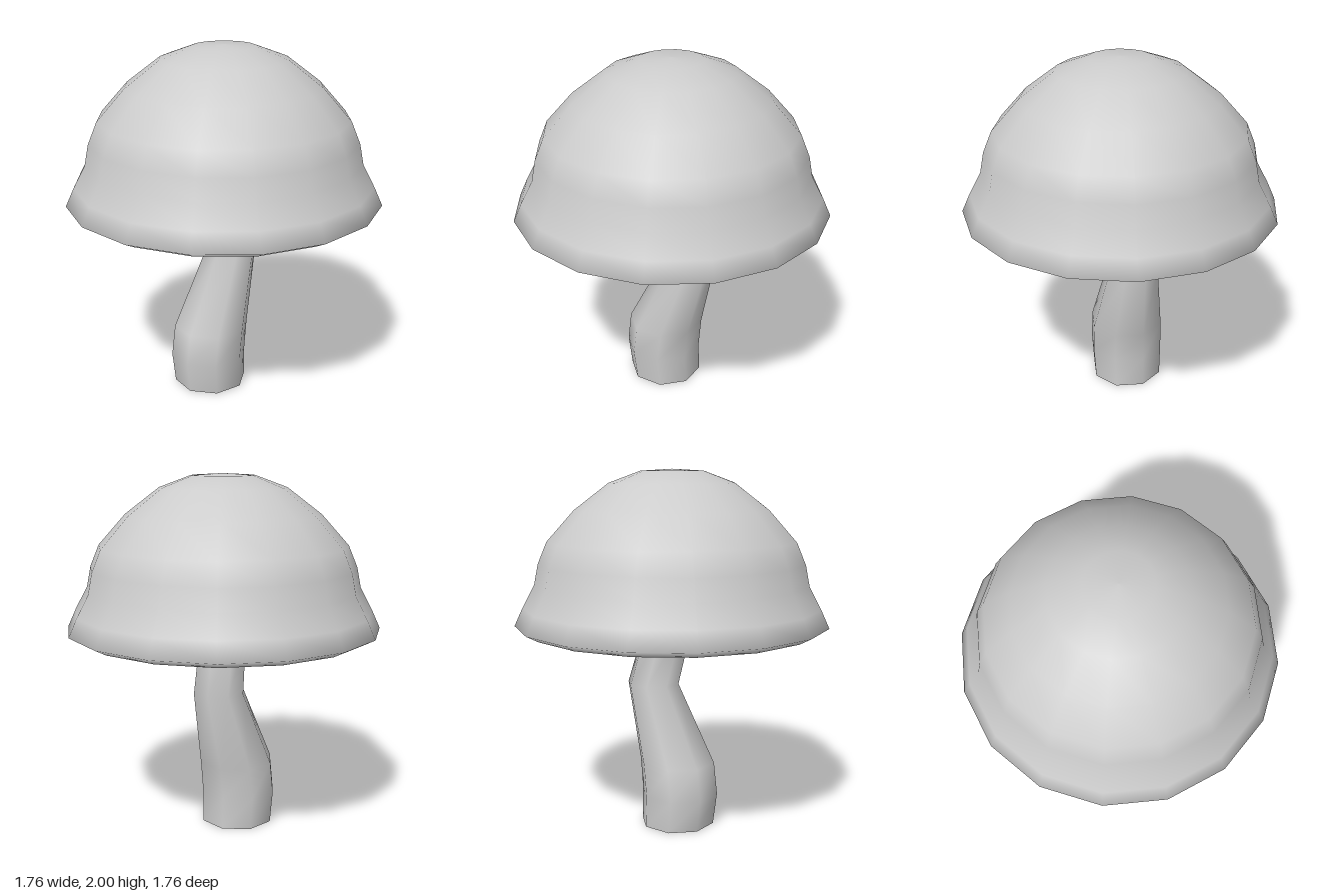
import * as THREE from 'three';
import { mergeVertices } from 'three/addons/utils/BufferGeometryUtils.js';

const material = new THREE.MeshStandardMaterial({ color: 0xcccccc, side: THREE.DoubleSide });

// Hollow cap: profile runs from the middle of the underside, around the lip, to the apex
function createCap() {
  const profile = [
    [0, 1.61], [0.2, 1.59], [0.38, 1.54], [0.51, 1.46], [0.61, 1.36],
    [0.68, 1.25], [0.74, 1.165], [0.81, 1.115],
    [0.878, 1.15], [0.832, 1.25], [0.765, 1.375], [0.742, 1.49], [0.692, 1.61],
    [0.54, 1.78], [0.35, 1.925], [0.175, 1.99], [0, 2],
  ].map(([r, y]) => new THREE.Vector2(r, y));
  const cap = new THREE.Mesh(new THREE.LatheGeometry(profile, 16), material);
  cap.name = 'cap';
  return cap;
}

// Crooked stem: an open tube whose rings are shifted and scaled
function createStem() {
  // x, y, z, radius, from top to bottom
  const rings = [
    [-0.04, 1.62, 0.02, 0.134],
    [-0.03, 1.4, 0.015, 0.135],
    [0.008, 1.12, -0.025, 0.138],
    [0.06, 0.8, -0.09, 0.148],
    [-0.075, 0.36, -0.012, 0.216],
    [-0.093, 0.18, -0.005, 0.219],
    [-0.082, 0, -0.013, 0.21],
  ];
  const sides = 8;
  let geometry = new THREE.CylinderGeometry(1, 1, 1, sides, rings.length - 1, true);
  const p = geometry.attributes.position;
  for (let i = 0; i < p.count; i++) {
    const [x, y, z, r] = rings[Math.floor(i / (sides + 1))];
    p.setXYZ(i, x + p.getX(i) * r, y, z + p.getZ(i) * r);
  }
  // Weld the seam so the shading is smooth all round
  geometry.deleteAttribute('uv');
  geometry.deleteAttribute('normal');
  geometry = mergeVertices(geometry);
  geometry.computeVertexNormals();
  const stem = new THREE.Mesh(geometry, material);
  stem.name = 'stem';
  return stem;
}

export function createModel() {
  const group = new THREE.Group();
  group.name = 'mushroom';
  group.add(createCap(), createStem());
  return group;
}
